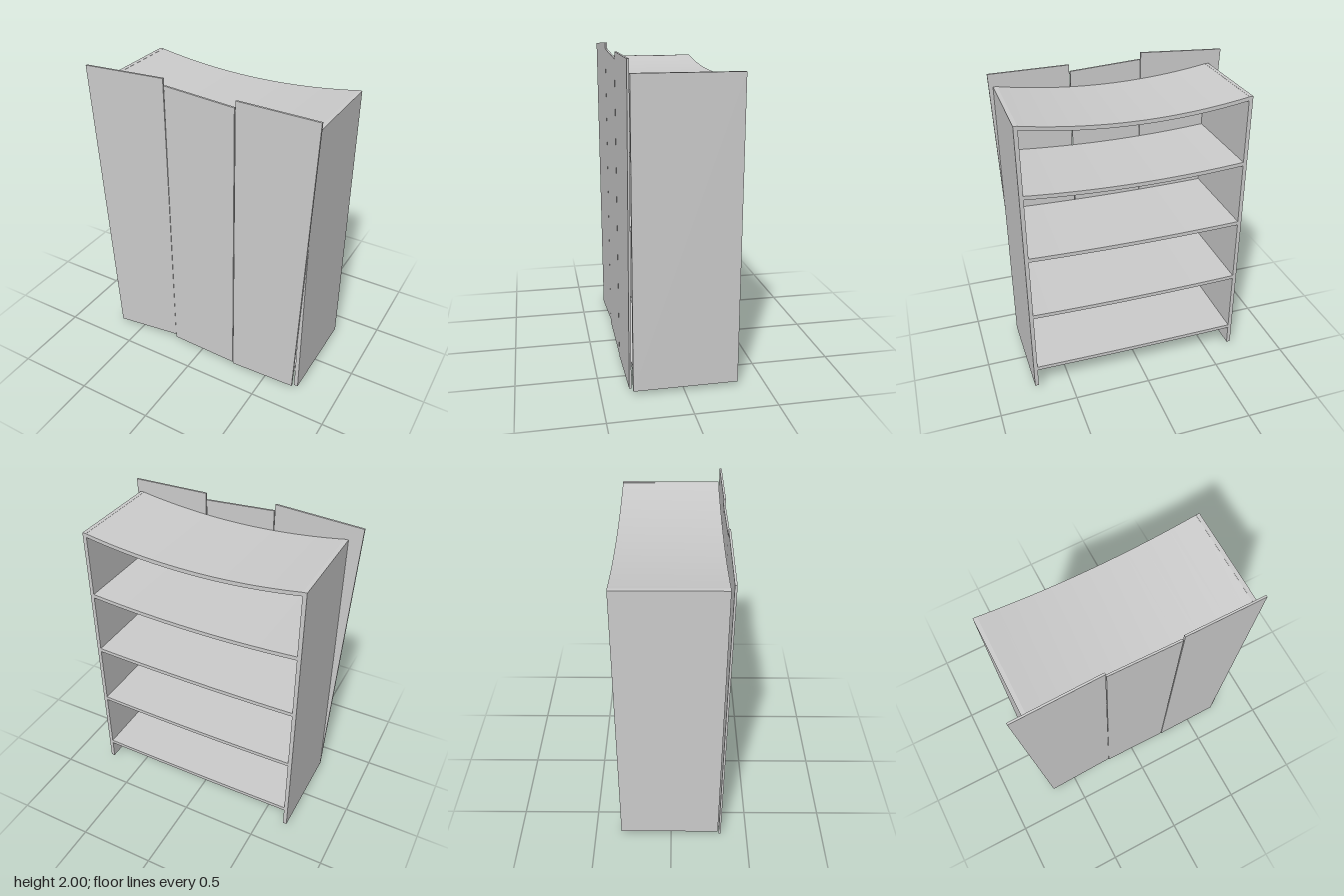
import * as THREE from 'three';

const material = new THREE.MeshStandardMaterial({ color: 0xcccccc, side: THREE.DoubleSide });
const BACK = -0.33, FRONT = 0.31;
const INNER_LEFT = 0.715, INNER_RIGHT = -0.66, BOARD = 0.025;

function addMesh(group, name, geometry) {
  const mesh = new THREE.Mesh(geometry, material);
  mesh.name = name;
  group.add(mesh);
  return mesh;
}

// Upright side board
function addSide(group, name, x) {
  const side = addMesh(group, name, new THREE.BoxGeometry(BOARD, 1.86, FRONT - BACK));
  side.position.set(x, 0.955, (FRONT + BACK) / 2);
}

// Shelf board bowed downwards along its length
function addShelf(group, name, top, sag) {
  const width = INNER_LEFT - INNER_RIGHT;
  const geometry = new THREE.BoxGeometry(width, BOARD, FRONT - BACK, 24, 1, 1);
  const pos = geometry.attributes.position;
  for (let i = 0; i < pos.count; i++) {
    const t = pos.getX(i) / (width / 2);
    pos.setY(i, pos.getY(i) - sag * (1 - t * t));
  }
  geometry.computeVertexNormals();
  const shelf = addMesh(group, name, geometry);
  shelf.position.set((INNER_LEFT + INNER_RIGHT) / 2, top - BOARD / 2, (FRONT + BACK) / 2);
}

// Crooked plank cut from four corners
function addPlank(group, name, corners) {
  const shape = new THREE.Shape(corners.map(([x, y]) => new THREE.Vector2(x, y)));
  const plank = addMesh(group, name, new THREE.ExtrudeGeometry(shape, { depth: 0.013, bevelEnabled: false }));
  plank.position.z = 0.317;
}

export function createModel() {
  const model = new THREE.Group();
  model.name = 'crookedBookcase';

  addSide(model, 'leftSide', INNER_LEFT + BOARD / 2);
  addSide(model, 'rightSide', INNER_RIGHT - BOARD / 2);

  // Five shelves, sagging more towards the top
  const sags = [0.005, 0.01, 0.012, 0.03, 0.06];
  sags.forEach((sag, i) => addShelf(model, `shelf${i + 1}`, 0.18 + i * 0.426, sag));

  // Three uneven planks closing the front
  addPlank(model, 'rightPlank', [[-0.68, 0], [-0.205, 0.065], [-0.212, 2], [-0.77, 1.97]]);
  addPlank(model, 'middlePlank', [[-0.204, 0.04], [0.257, 0.023], [0.254, 1.927], [-0.207, 1.957]]);
  addPlank(model, 'leftPlank', [[0.261, 0.012], [0.705, 0.028], [0.768, 1.963], [0.26, 1.97]]);

  return model;
}
